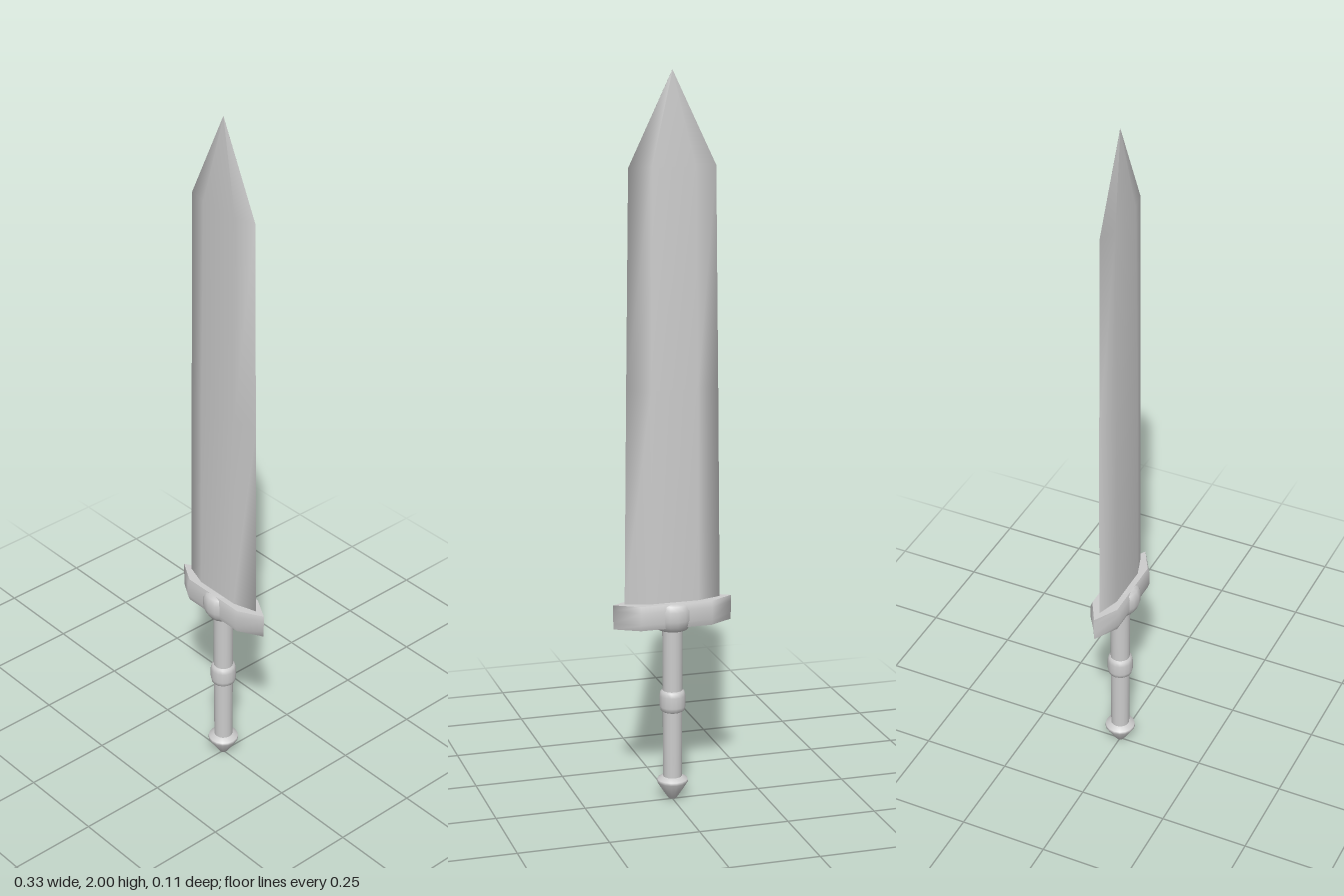
import * as THREE from 'three';

const material = new THREE.MeshStandardMaterial({ color: 0xcccccc, side: THREE.DoubleSide });

// Six-sided section, pointed at both ends: half width, half width of the flat, half depth
function hexagon([y, w, f, d]) {
  return [[w, 0], [f, -d], [-f, -d], [-w, 0], [-f, d], [f, d]].map(([x, z]) => [x, y, z]);
}

// Smooth skin over stacked sections, listed from bottom to top
function skin(sections) {
  const index = [];
  for (let s = 0; s < sections.length - 1; s++) {
    for (let i = 0; i < 6; i++) {
      const a = s * 6 + i, b = s * 6 + (i + 1) % 6;
      index.push(a, b, b + 6, a, b + 6, a + 6);
    }
  }
  const g = new THREE.BufferGeometry();
  g.setAttribute('position', new THREE.Float32BufferAttribute(sections.flatMap(hexagon).flat(), 3));
  g.setIndex(index);
  g.computeVertexNormals();
  return g;
}

// Flat lid over one section
function lid(section, up) {
  const g = new THREE.BufferGeometry();
  g.setAttribute('position', new THREE.Float32BufferAttribute(hexagon(section).flat(), 3));
  const index = [0, 1, 2, 0, 2, 3, 0, 3, 4, 0, 4, 5];
  g.setIndex(up ? index : index.reverse());
  g.computeVertexNormals();
  return g;
}

function lathe(points, sides) {
  return new THREE.LatheGeometry(points.map(([r, y]) => new THREE.Vector2(r, y)), sides);
}

export function createModel() {
  const model = new THREE.Group();
  const add = (name, geometry, parent = model) => {
    const mesh = new THREE.Mesh(geometry, material);
    mesh.name = name;
    parent.add(mesh);
  };

  // Broad blade with bevelled edges and a pointed tip
  add('blade', skin([
    [0.56, 0.135, 0.068, 0.022],
    [1.16, 0.128, 0.065, 0.02],
    [1.75, 0.12, 0.06, 0.015],
    [1.999, 0.0008, 0.0004, 0.0004],
    [2, 0, 0, 0],
  ]));

  // Crossguard, pointed at both ends
  const guard = new THREE.Group();
  guard.name = 'guard';
  model.add(guard);
  const low = [0.505, 0.167, 0.1, 0.038];
  const high = [0.573, 0.167, 0.1, 0.038];
  add('guardSides', skin([low, [0.522, 0.167, 0.1, 0.044], [0.556, 0.167, 0.1, 0.044], high]), guard);
  add('guardTop', lid(high, true), guard);
  add('guardBottom', lid(low, false), guard);

  // Rounded boss through the middle of the guard
  add('boss', lathe([[0, 0.494], [0.042, 0.494], [0.051, 0.508], [0.057, 0.525],
    [0.057, 0.552], [0.05, 0.567], [0.04, 0.573], [0, 0.573]], 16));

  // Handle
  add('grip', lathe([[0.026, 0.05], [0.027, 0.26], [0.028, 0.5]], 16));
  add('gripRing', lathe([[0.026, 0.256], [0.033, 0.26], [0.036, 0.272],
    [0.036, 0.302], [0.033, 0.314], [0.026, 0.318]], 16));
  add('pommel', lathe([[0, 0], [0.012, 0.004], [0.028, 0.028], [0.043, 0.052],
    [0.042, 0.06], [0.026, 0.068]], 16));

  return model;
}
